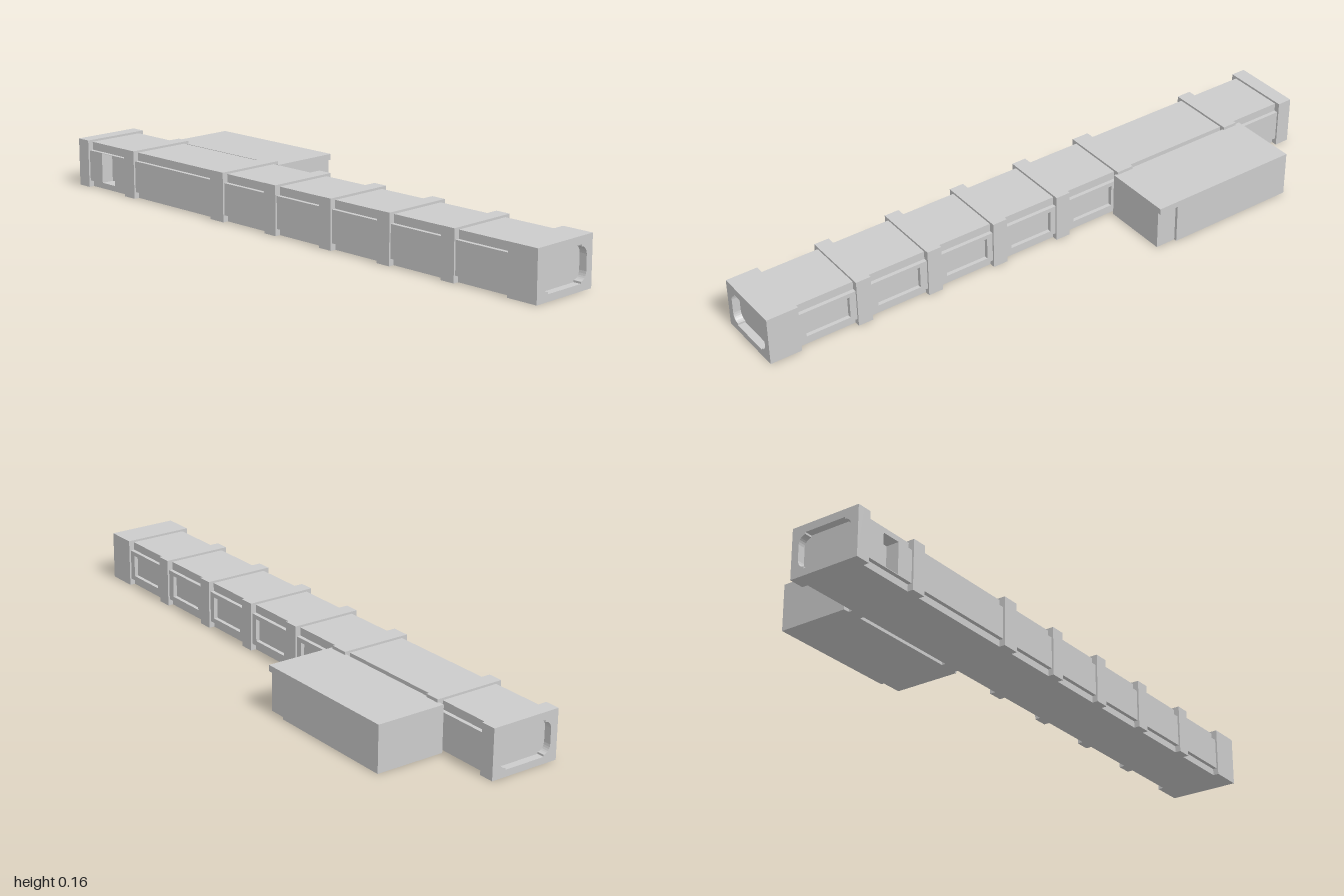
import * as THREE from 'three';

const Z0 = -0.005, Z1 = 0.232, ZC = (Z0 + Z1) / 2, TOP = 0.16;
const ROOF = 0.153, LEDGE_LOW = 0.022, LEDGE_HIGH = 0.126;
const WALL_INSET = 0.006, CORE_INSET = 0.019;

export function createModel() {
  const model = new THREE.Group();
  const material = new THREE.MeshStandardMaterial({ color: 0xcccccc, flatShading: true });

  const add = (name, geometry) => {
    const mesh = new THREE.Mesh(geometry, material);
    mesh.name = name;
    model.add(mesh);
    return mesh;
  };

  // Box given by its two corners
  const box = (name, x0, x1, y0, y1, z0, z1) => {
    const g = new THREE.BoxGeometry(x1 - x0, y1 - y0, z1 - z0);
    g.translate((x0 + x1) / 2, (y0 + y1) / 2, (z0 + z1) / 2);
    return add(name, g);
  };

  const rect = (Type, x0, x1, y0, y1) => {
    const s = new Type();
    s.moveTo(x0, y0).lineTo(x1, y0).lineTo(x1, y1).lineTo(x0, y1).closePath();
    return s;
  };

  // Wall panel facing z, with an optional rectangular opening
  const wall = (name, x0, x1, z0, z1, hole) => {
    const s = rect(THREE.Shape, x0, x1, LEDGE_LOW, LEDGE_HIGH);
    if (hole) s.holes.push(rect(THREE.Path, ...hole));
    const g = new THREE.ExtrudeGeometry(s, { depth: z1 - z0, bevelEnabled: false });
    g.translate(0, 0, z0);
    add(name, g);
  };

  // Doorway outline: rounded corners with a small step at head and sill
  const doorway = () => {
    const p = new THREE.Path();
    const yc = 0.0785, w = 0.094, h = 0.0565, ex = 0.071, ey = 0.025, step = 0.006;
    p.moveTo(ex, yc + h);
    p.lineTo(ex, yc + h - step);
    p.quadraticCurveTo(w - 0.003, yc + h - step - 0.002, w, yc + ey);
    p.lineTo(w, yc - ey);
    p.quadraticCurveTo(w - 0.003, yc - h + step + 0.002, ex, yc - h + step);
    p.lineTo(ex, yc - h);
    p.lineTo(-ex, yc - h);
    p.lineTo(-ex, yc - h + step);
    p.quadraticCurveTo(-w + 0.003, yc - h + step + 0.002, -w, yc - ey);
    p.lineTo(-w, yc + ey);
    p.quadraticCurveTo(-w + 0.003, yc + h - step - 0.002, -ex, yc + h - step);
    p.lineTo(-ex, yc + h);
    p.closePath();
    return p;
  };

  // End frame with a recessed doorway
  const endFrame = (name, x0, x1) => {
    const half = (Z1 - Z0) / 2;
    const s = rect(THREE.Shape, -half, half, 0, TOP);
    s.holes.push(doorway());
    const g = new THREE.ExtrudeGeometry(s, { depth: x1 - x0, bevelEnabled: false, curveSegments: 6 });
    g.rotateY(Math.PI / 2).translate(x0, 0, ZC);
    add(name, g);
  };

  // Solid ribs between the bays, and both end sections
  const ribs = [[-0.76, -0.71], [-0.33, -0.27], [-0.08, -0.03], [0.16, 0.21], [0.4, 0.45], [0.65, 0.7]];
  ribs.forEach(([a, b]) => box('rib', a, b, 0, TOP, Z0, Z1));
  const recess = 0.025;
  endFrame('rightEndFrame', -1, -1 + recess);
  box('rightEndSection', -1 + recess, -0.95, 0, TOP, Z0, Z1);
  box('leftEndSection', 0.895, 1 - recess, 0, TOP, Z0, Z1);
  endFrame('leftEndFrame', 1 - recess, 1);

  // Bays: stepped core, front wall and back wall
  const edges = [-0.95, ...ribs.flat(), 0.895];
  for (let i = 0; i < edges.length; i += 2) {
    const a = edges[i], b = edges[i + 1], mid = (a + b) / 2;
    const back = Z0 + CORE_INSET, front = Z1 - CORE_INSET;
    const hasDoor = i === 0, hasWindow = i >= 4;
    const coreFront = hasDoor ? front - 0.03 : front;
    box('bayFloor', a, b, 0, LEDGE_LOW, back, front);
    box('bayCore', a, b, LEDGE_LOW, LEDGE_HIGH, back, coreFront);
    box('bayRoof', a, b, LEDGE_HIGH, ROOF, back, front);
    wall('frontWall', a, b, coreFront, Z1 - WALL_INSET,
      hasDoor && [-0.885, -0.82, LEDGE_LOW + 0.002, LEDGE_HIGH - 0.001]);
    wall('backWall', a, b, Z0 + WALL_INSET, back,
      hasWindow && [mid - 0.075, mid + 0.075, 0.038, 0.112]);
  }

  // Side room at the back, with a shallow doorway at its rear corner
  const rx0 = -0.78, rx1 = -0.26, rz = -0.232, skin = 0.01;
  box('sideRoom', rx0, rx1, 0, 0.15, rz + skin, 0.001);
  box('sideRoomBackWall', rx0, rx1 - 0.07, 0, 0.15, rz, rz + skin);
  box('sideRoomLintel', rx1 - 0.07, rx1, 0.13, 0.15, rz, rz + skin);

  return model;
}
